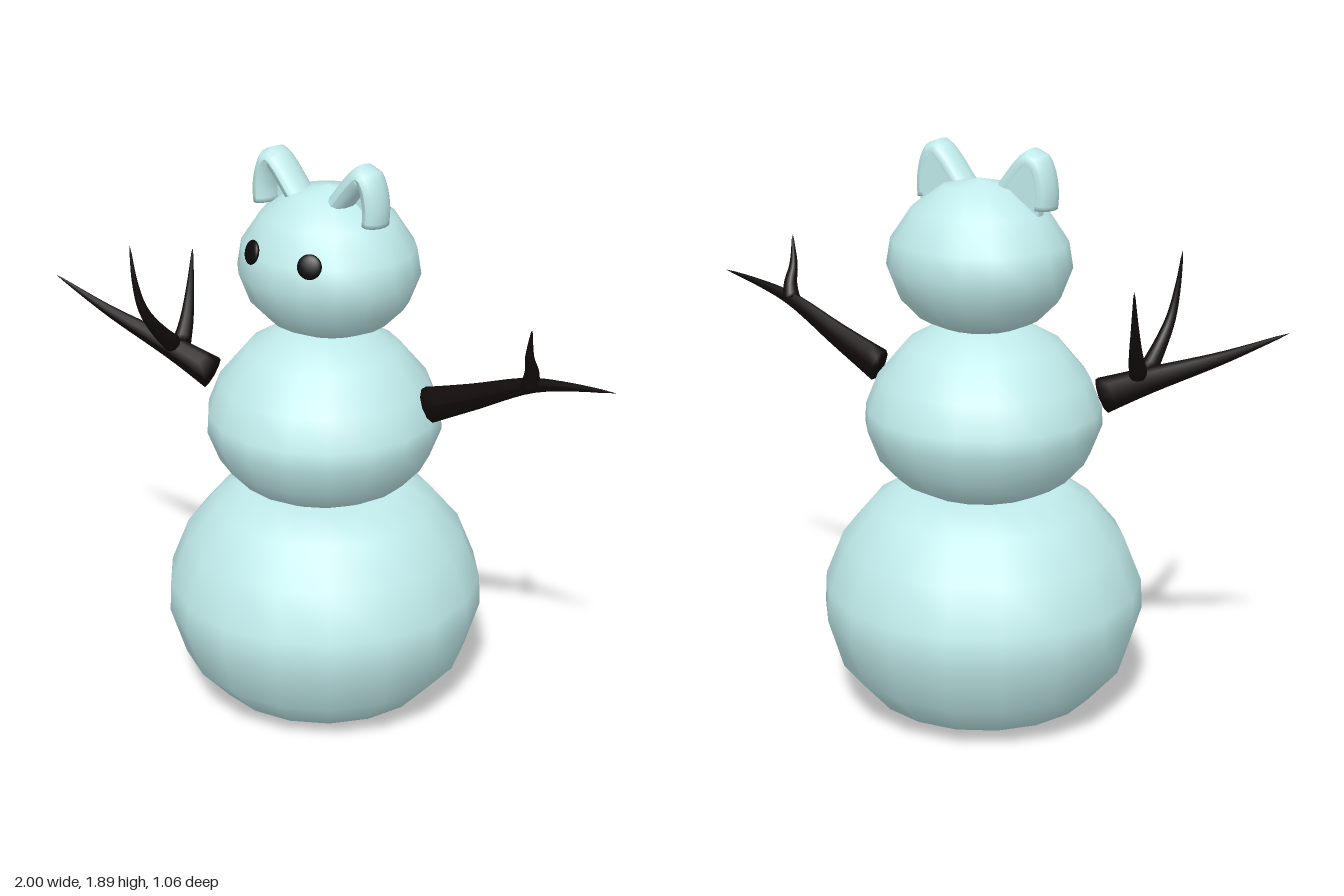
import * as THREE from 'three';

const AXIS_X = -0.06; // the body stands off centre because the arms differ in reach
const snow = new THREE.MeshStandardMaterial({ color: 0xc0eaea });
const wood = new THREE.MeshStandardMaterial({ color: 0x120b0a });
const coal = new THREE.MeshStandardMaterial({ color: 0x0a0a0a });

function addMesh(parent, name, geometry, material) {
  const mesh = new THREE.Mesh(geometry, material);
  mesh.name = name;
  parent.add(mesh);
  return mesh;
}

// Closed ball turned from [radius, height] points
function snowball(parent, name, profile) {
  const points = profile.map(([r, y]) => new THREE.Vector2(r, y));
  return addMesh(parent, name, new THREE.LatheGeometry(points, 18), snow);
}

// Tube with a radius that varies along its path; both ends are closed
function taperedTube(points, radiusAt, flattenZ = 1, segments = 16, sides = 10) {
  const curve = new THREE.CatmullRomCurve3(points.map((p) => new THREE.Vector3(...p)));
  const geometry = new THREE.TubeGeometry(curve, segments, 1, sides, false);
  const pos = geometry.attributes.position;
  const v = new THREE.Vector3();
  for (let i = 0; i <= segments; i++) {
    const centre = curve.getPointAt(i / segments);
    const closed = i === 0 || i === segments;
    const r = closed ? 0 : radiusAt(i / segments);
    // The first ring folds in to cap the base
    const target = i === 0 ? curve.getPointAt(1 / segments) : centre;
    for (let j = 0; j <= sides; j++) {
      const k = i * (sides + 1) + j;
      v.fromBufferAttribute(pos, k).sub(centre).multiplyScalar(r);
      v.z *= flattenZ;
      v.add(target);
      pos.setXYZ(k, v.x, v.y, v.z);
    }
  }
  geometry.computeVertexNormals();
  return geometry;
}

const taper = (from, to) => (t) => from + (to - from) * Math.pow(t, 0.85);

function createEar() {
  const ear = new THREE.Group();
  const path = [[0.212, 1.69], [0.215, 1.76], [0.2, 1.825], [0.178, 1.853],
    [0.148, 1.83], [0.095, 1.765], [0.06, 1.72]];
  // Thick rim
  const rim = taperedTube(path.map(([x, y]) => [x, y, 0.015]), () => 0.036, 1.53, 24, 12);
  addMesh(ear, 'earRim', rim, snow);
  // Panel that closes the ear behind its hollow
  const shape = new THREE.Shape(path.map(([x, y]) => new THREE.Vector2(x, y)));
  const panel = new THREE.ExtrudeGeometry(shape, {
    depth: 0.025, bevelEnabled: true, bevelSize: 0.008, bevelThickness: 0.008, bevelSegments: 2,
  });
  panel.translate(0, 0, -0.03);
  addMesh(ear, 'earBack', panel, snow);
  return ear;
}

export function createModel() {
  const model = new THREE.Group();
  model.name = 'snowCat';

  const body = new THREE.Group();
  body.name = 'body';
  body.position.x = AXIS_X;
  model.add(body);

  // Three stacked balls
  snowball(body, 'lowerBody', [[0, 0], [0.21, 0], [0.38, 0.06], [0.48, 0.175], [0.53, 0.34],
    [0.525, 0.44], [0.465, 0.59], [0.365, 0.71], [0.26, 0.77], [0, 0.775]]);
  snowball(body, 'upperBody', [[0, 0.77], [0.21, 0.77], [0.285, 0.81], [0.348, 0.88], [0.386, 0.98],
    [0.382, 1.04], [0.342, 1.14], [0.25, 1.25], [0.13, 1.317], [0, 1.32]]);
  const head = snowball(body, 'head', [[0, 1.31], [0.13, 1.315], [0.2, 1.345], [0.265, 1.41],
    [0.302, 1.505], [0.288, 1.59], [0.22, 1.69], [0.12, 1.76], [0, 1.785]]);
  head.scale.z = 0.92;
  head.position.z = -0.027;

  for (const side of [1, -1]) {
    const label = side > 0 ? 'left' : 'right';

    const ear = createEar();
    ear.name = label + 'Ear';
    ear.scale.x = side;
    body.add(ear);

    // Flat button eyes that follow the curve of the face
    const eye = addMesh(body, label + 'Eye', new THREE.SphereGeometry(0.039, 20, 12), coal);
    eye.scale.z = 0.35;
    eye.position.set(side * 0.113, 1.602, 0.215);
    eye.rotation.set(-0.28, side * 0.42, 0, 'YXZ');
  }

  // Branch arms, each a limb with thinner twigs
  const arms = {
    rightArm: [
      ['limb', [[-0.395, 1.085, 0.115], [-0.57, 1.165, 0.155], [-0.8, 1.263, 0.215], [-1, 1.362, 0.26]], 0.066, 0.8],
      ['frontTwig', [[-0.56, 1.17, 0.15], [-0.57, 1.26, 0.235], [-0.58, 1.34, 0.285], [-0.59, 1.44, 0.307], [-0.602, 1.56, 0.31]], 0.034, 1],
      ['backTwig', [[-0.55, 1.17, 0.145], [-0.56, 1.25, 0.1], [-0.575, 1.35, 0.06], [-0.585, 1.48, 0.03]], 0.034, 1],
    ],
    leftArm: [
      ['limb', [[0.275, 1.105, -0.055], [0.48, 1.195, -0.048], [0.7, 1.295, -0.038], [0.85, 1.33, -0.03], [0.995, 1.352, -0.022]], 0.066, 0.6],
      ['twig', [[0.695, 1.28, -0.035], [0.71, 1.34, -0.02], [0.715, 1.4, 0.005], [0.73, 1.5, 0.024]], 0.034, 1],
    ],
  };
  for (const [armName, branches] of Object.entries(arms)) {
    const arm = new THREE.Group();
    arm.name = armName;
    for (const [name, path, radius, flatten] of branches) {
      addMesh(arm, name, taperedTube(path, taper(radius, 0.002), flatten), wood);
    }
    model.add(arm);
  }

  return model;
}
